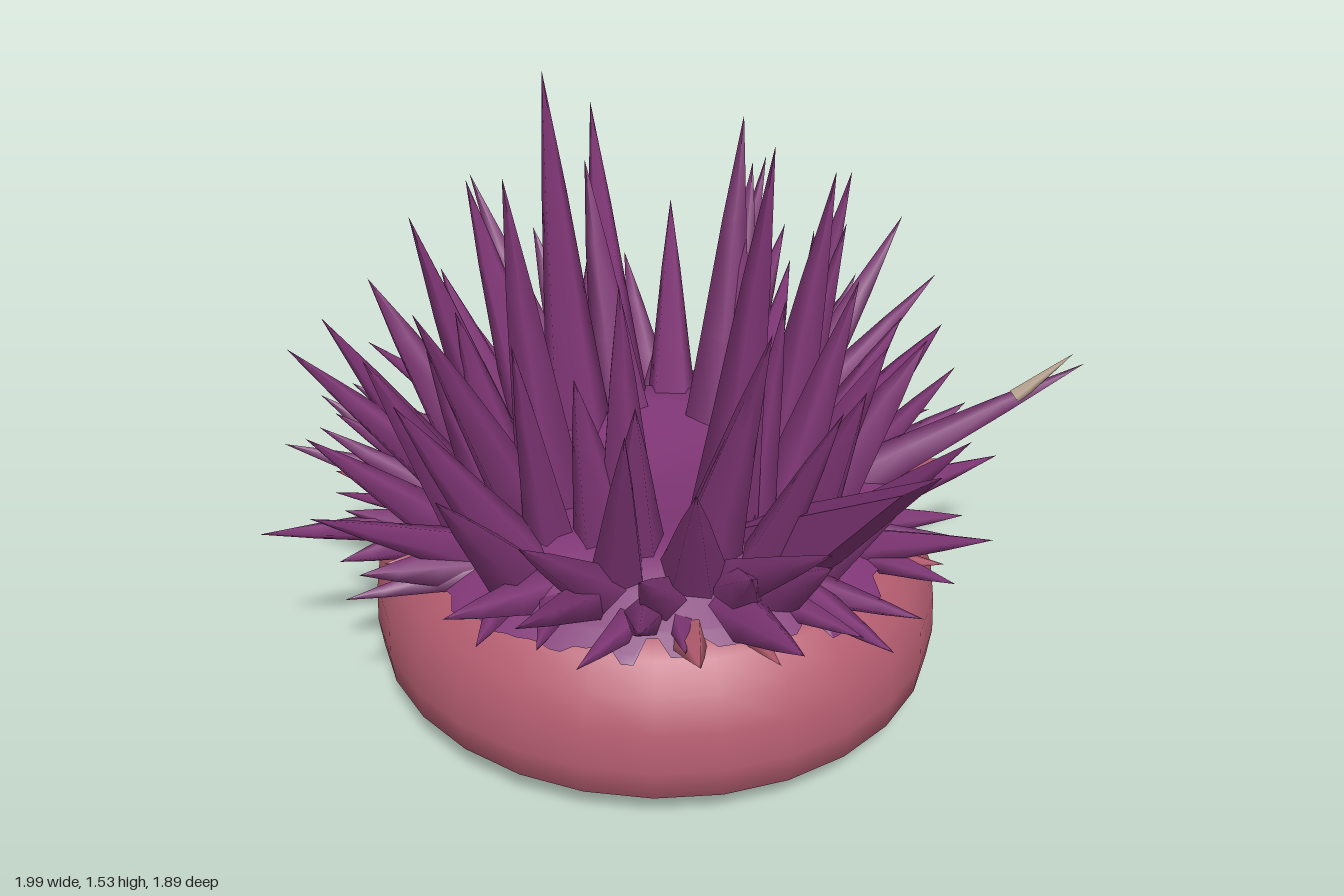
import * as THREE from 'three';
import { ConvexGeometry } from 'three/addons/geometries/ConvexGeometry.js';

const mat = (name, color) => {
  const m = new THREE.MeshStandardMaterial({ color });
  m.name = name;
  return m;
};
const V2 = (x, y) => new THREE.Vector2(x, y);
const V3 = (x, y, z) => new THREE.Vector3(x, y, z);
const UP = V3(0, 1, 0);

// small seeded generator
let seed = 7;
const rand = () => {
  seed = (seed * 16807) % 2147483647;
  return seed / 2147483647;
};
const jitter = (a) => (rand() * 2 - 1) * a;

// body outline, from the underside to the upper rim
const OUTLINE = [
  [0, 0.004], [0.35, 0.010], [0.56, 0.026], [0.66, 0.06], [0.715, 0.1],
  [0.725, 0.18], [0.72, 0.28], [0.685, 0.36], [0.635, 0.425], [0.57, 0.47], [0, 0.48],
];
// body radius at a height on the side wall
function bodyRadius(y) {
  for (let i = 4; i < 9; i++) {
    const [r0, y0] = OUTLINE[i], [r1, y1] = OUTLINE[i + 1];
    if (y <= y1) return r0 + (r1 - r0) * (y - y0) / (y1 - y0);
  }
  return 0.57;
}
// height of the underside at a radius
function undersideY(r) {
  for (let i = 0; i < 4; i++) {
    const [r0, y0] = OUTLINE[i], [r1, y1] = OUTLINE[i + 1];
    if (r <= r1) return y0 + (y1 - y0) * (r - r0) / (r1 - r0);
  }
  return 0.1;
}

export function createModel() {
  seed = 7;
  const group = new THREE.Group();
  group.name = 'anemone';
  const pink = mat('rosePink', 0xb55d70);
  const purple = mat('deepPurple', 0x803676);
  const tan = mat('paleTan', 0xc0aa96);
  tan.side = THREE.DoubleSide;

  const add = (name, geo, material, parent = group) => {
    const mesh = new THREE.Mesh(geo, material);
    mesh.name = name;
    parent.add(mesh);
    return mesh;
  };

  // squat rounded body, slightly longer front to back
  const trunk = new THREE.Group();
  trunk.name = 'trunk';
  trunk.position.set(-0.07, 0, 0.045);
  trunk.scale.z = 1.035;
  group.add(trunk);
  add('body', new THREE.LatheGeometry(OUTLINE.map((p) => V2(...p)), 28), pink, trunk);

  // purple cap with a ragged skirt that runs down the body in places
  const SEG = 144, SKIRT = 6;
  const profile = [];
  for (let i = 0; i <= SKIRT; i++) profile.push(V2(0.6, 0.4 + i * 0.01));
  profile.push(V2(0.5, 0.52), V2(0.42, 0.57), V2(0.33, 0.57), V2(0.2, 0.54), V2(0, 0.53));
  const capGeo = new THREE.LatheGeometry(profile, SEG);
  const pos = capGeo.attributes.position;
  const scallop = Array.from({ length: SEG / 2 }, () => 0.434 + jitter(0.028));
  const drops = Array.from({ length: SEG }, (_, i) => scallop[Math.floor(i / 2)]);
  [0.43, 0.36, 0.27, 0.28, 0.36, 0.4, 0.43, 0.43, 0.31, 0.28, 0.29, 0.4]
    .forEach((y, i) => { drops[28 + i] = y; });
  for (let s = 0; s <= SEG; s++) {
    const a = (s / SEG) * Math.PI * 2;
    for (let i = 0; i <= SKIRT; i++) {
      const y = THREE.MathUtils.lerp(drops[s % SEG], 0.468, i / SKIRT);
      const r = bodyRadius(y) + 0.008;
      pos.setXYZ(s * profile.length + i, r * Math.sin(a), y + 0.003, r * Math.cos(a));
    }
  }
  capGeo.computeVertexNormals();
  add('cap', capGeo, purple, trunk);

  // a five-sided tentacle, broad at the base and thin at the tip
  const spike = (name, base, tip, r, material, parent, blunt = 0) => {
    const dir = tip.clone().sub(base);
    const len = dir.length();
    const pts = [V2(r, 0), V2(r * 0.66, len * 0.35), V2(r * Math.max(0.34, blunt), len * 0.7), V2(r * blunt, len)];
    if (blunt) pts.push(V2(0, len));
    const mesh = add(name, new THREE.LatheGeometry(pts, 5, rand() * 6), material, parent);
    mesh.position.copy(base);
    mesh.quaternion.setFromUnitVectors(UP, dir.normalize());
  };

  // rings: base radius, base y, tip radius, tip y, count, thickness
  const rings = [
    [0.34, 0.48, 0.46, 1.12, 7, 0.08],
    [0.39, 0.47, 0.58, 1.06, 12, 0.09],
    [0.45, 0.46, 0.72, 0.95, 15, 0.085],
    [0.50, 0.46, 0.83, 0.79, 17, 0.075],
    [0.53, 0.46, 0.84, 0.62, 17, 0.065],
    [0.55, 0.455, 0.80, 0.475, 22, 0.05],
  ];
  const cx = -0.06, cz = 0.02;
  const at = (a, r, y) => V3(cx + r * Math.sin(a), y, cz + r * Math.cos(a));
  rings.forEach(([r0, y0, r1, y1, n, w], k) => {
    const ring = new THREE.Group();
    ring.name = `tentacleRing${k + 1}`;
    group.add(ring);
    for (let i = 0; i < n; i++) {
      const a = ((i + 0.5 * (k % 2)) / n) * Math.PI * 2 + jitter(0.12);
      const base = at(a, r0 + jitter(0.03), y0);
      const tip = at(a + jitter(0.14), r1 + jitter(0.08), y1 + jitter(k === 5 ? 0.025 : 0.11));
      spike('tentacle', base, tip, w * (1 + jitter(0.2)), purple, ring);
    }
  });

  // longest tentacles, given by their tips
  const longOnes = new THREE.Group();
  longOnes.name = 'longTentacles';
  group.add(longOnes);
  [
    [-0.07, 1.53, 0.47], [-0.08, 1.5, -0.4], [-0.47, 1.42, 0.02], [0.35, 1.37, -0.12],
    [0.24, 1.37, 0.34], [-0.59, 1.29, -0.2], [0.47, 1.27, 0.16], [0.2, 1.32, -0.59],
    [-0.36, 1.23, 0.3], [-0.76, 1.2, 0.1], [0.59, 1.16, -0.3], [-0.25, 1.22, 0.68],
    [0.77, 1.05, 0.06], [0.02, 1.05, -0.95], [-0.88, 1.0, -0.3], [0.99, 0.8, 0],
    [-1.0, 0.73, 0], [0.9, 0.7, -0.25], [-0.98, 0.5, -0.36], [0.9, 0.43, 0.1],
    [0.78, 0.85, 0.7], [-0.88, 0.75, 0.65], [-0.3, 0.84, 0.94], [0.33, 0.9, -0.8],
    [-0.8, 0.6, -0.57], [0.3, 0.6, 0.86], [-0.05, 0.46, 0.9], [-0.05, 0.51, -0.88],
  ].forEach(([x, y, z]) => {
    const e = THREE.MathUtils.clamp((y - 0.46) / 0.95, 0, 1);
    const base = at(Math.atan2(x - cx, z - cz), 0.56 - 0.26 * e, 0.46);
    spike('longTentacle', base, V3(x, y, z), 0.055 + 0.045 * e, purple, longOnes);
  });

  // flat wedge-shaped tentacle at the front
  const wedge = [];
  for (const s of [-1, 1]) {
    wedge.push(V3(-0.05 + s * 0.085, 0.46, 0.58), V3(-0.05 + s * 0.085, 0.56, 0.4),
      V3(-0.05 + s * 0.06, 0.91, 0.94));
  }
  add('wedgeTentacle', new ConvexGeometry(wedge), purple);

  // pink points around the rim
  [[-0.13, 0.48, -0.87, 0.1], [0.42, 0.47, -0.66, 0.065], [-0.68, 0.49, -0.54, 0.08],
    [-0.46, 0.5, 0.72, 0.07], [-0.78, 0.47, -0.1, 0.06], [0.68, 0.46, 0.36, 0.06],
    [-0.28, 0.46, 0.78, 0.05], [0.3, 0.46, 0.72, 0.05]]
    .forEach(([x, y, z, w], i) => {
      const base = at(Math.atan2(x - cx, z - cz), 0.53, 0.42);
      spike('rimPoint', base, V3(x, y, z), w, pink, group, i ? 0 : 0.45);
    });

  // pale sliver along one tentacle tip
  spike('paleSliver', V3(0.65, 0.76, 0.6), V3(0.75, 0.88, 0.685), 0.021, tan, group);

  // pale stains hugging the underside
  const stain = (name, x, z, length, width, angle) => {
    const geo = new THREE.RingGeometry(0, 1, 24, 4);
    geo.scale(length / 2, width / 2, 1).rotateX(Math.PI / 2).rotateY(-angle);
    geo.translate(x - trunk.position.x, 0, z - trunk.position.z);
    const p = geo.attributes.position;
    for (let i = 0; i < p.count; i++) p.setY(i, undersideY(Math.hypot(p.getX(i), p.getZ(i))) - 0.004);
    geo.computeVertexNormals();
    add(name, geo, tan, trunk);
  };
  stain('largeStain', -0.05, 0.4, 0.82, 0.17, 0.15);
  stain('smallStain', 0.3, -0.44, 0.24, 0.05, 0.65);

  return group;
}
